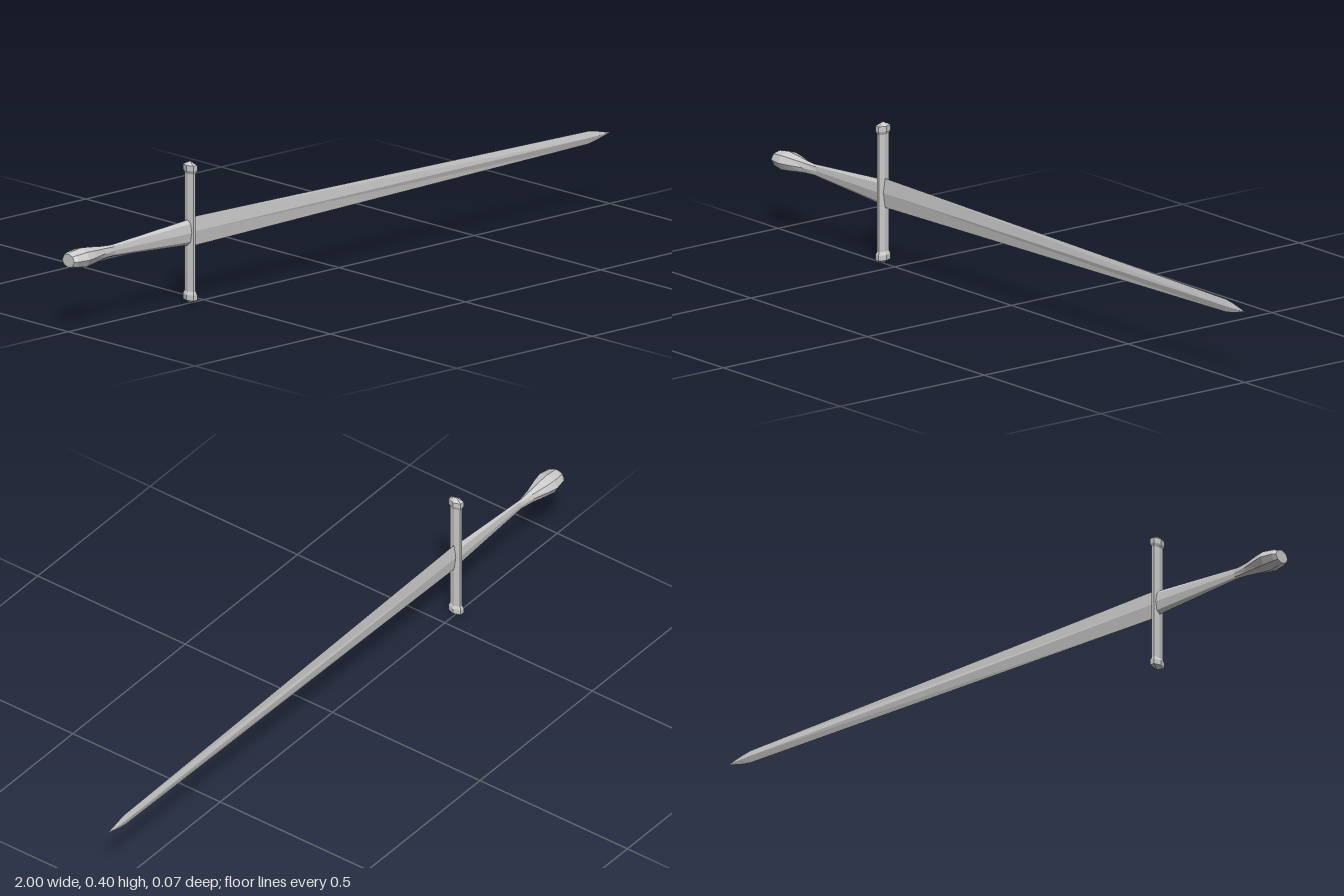
import * as THREE from 'three';

const material = new THREE.MeshStandardMaterial({ color: 0xcccccc, flatShading: true });

// Loft along +x: each section is [x, halfHeight, halfDepth], an n-sided ring with a vertex at top
function loft(name, sections, sides) {
  const pos = [];
  const index = [];
  for (const [x, h, d] of sections) {
    for (let i = 0; i < sides; i++) {
      const a = (i / sides) * Math.PI * 2;
      pos.push(x, h * Math.cos(a), d * Math.sin(a));
    }
  }
  for (let s = 0; s < sections.length - 1; s++) {
    for (let i = 0; i < sides; i++) {
      const j = (i + 1) % sides;
      const a = s * sides + i, b = s * sides + j;
      index.push(a, b, b + sides, a, b + sides, a + sides);
    }
  }
  // End caps
  const last = (sections.length - 1) * sides;
  for (let i = 1; i < sides - 1; i++) {
    index.push(0, i + 1, i, last, last + i, last + i + 1);
  }
  const geometry = new THREE.BufferGeometry();
  geometry.setAttribute('position', new THREE.Float32BufferAttribute(pos, 3));
  geometry.setIndex(index);
  geometry.computeVertexNormals();
  const mesh = new THREE.Mesh(geometry, material);
  mesh.name = name;
  return mesh;
}

export function createModel() {
  const sword = new THREE.Group();
  sword.name = 'sword';
  const body = new THREE.Group();
  body.name = 'swordBody';
  body.position.y = 0.2;
  sword.add(body);

  // Diamond-section blade tapering to a point
  body.add(loft('blade', [
    [-0.55, 0.041, 0.005],
    [0.92, 0.018, 0.005],
    [0.95, 0.013, 0.004],
    [1, 0.0005, 0.0005],
  ], 4));

  // Faceted grip, widening towards the guard
  body.add(loft('grip', [
    [-0.88, 0.014, 0.006],
    [-0.83, 0.017, 0.006],
    [-0.55, 0.036, 0.013],
  ], 8));

  // Pear-shaped pommel
  body.add(loft('pommel', [
    [-1, 0.019, 0.024],
    [-0.99, 0.023, 0.03],
    [-0.955, 0.028, 0.036],
    [-0.925, 0.025, 0.029],
    [-0.88, 0.019, 0.015],
    [-0.83, 0.015, 0.006],
  ], 8));

  // Upright crossguard bar with a pointed knob at each end
  const guard = new THREE.Group();
  guard.name = 'crossguard';
  guard.position.x = -0.55;
  body.add(guard);
  const bar = loft('guardBar', [[-0.17, 0.009, 0.02], [0.17, 0.009, 0.02]], 6);
  bar.rotation.z = Math.PI / 2;
  guard.add(bar);
  for (const side of [1, -1]) {
    const knob = loft('guardKnob', [
      [0.164, 0.009, 0.02],
      [0.173, 0.014, 0.0243],
      [0.188, 0.014, 0.0243],
      [0.198, 0.001, 0.001],
    ], 6);
    knob.rotation.z = side * Math.PI / 2;
    guard.add(knob);
  }
  return sword;
}
